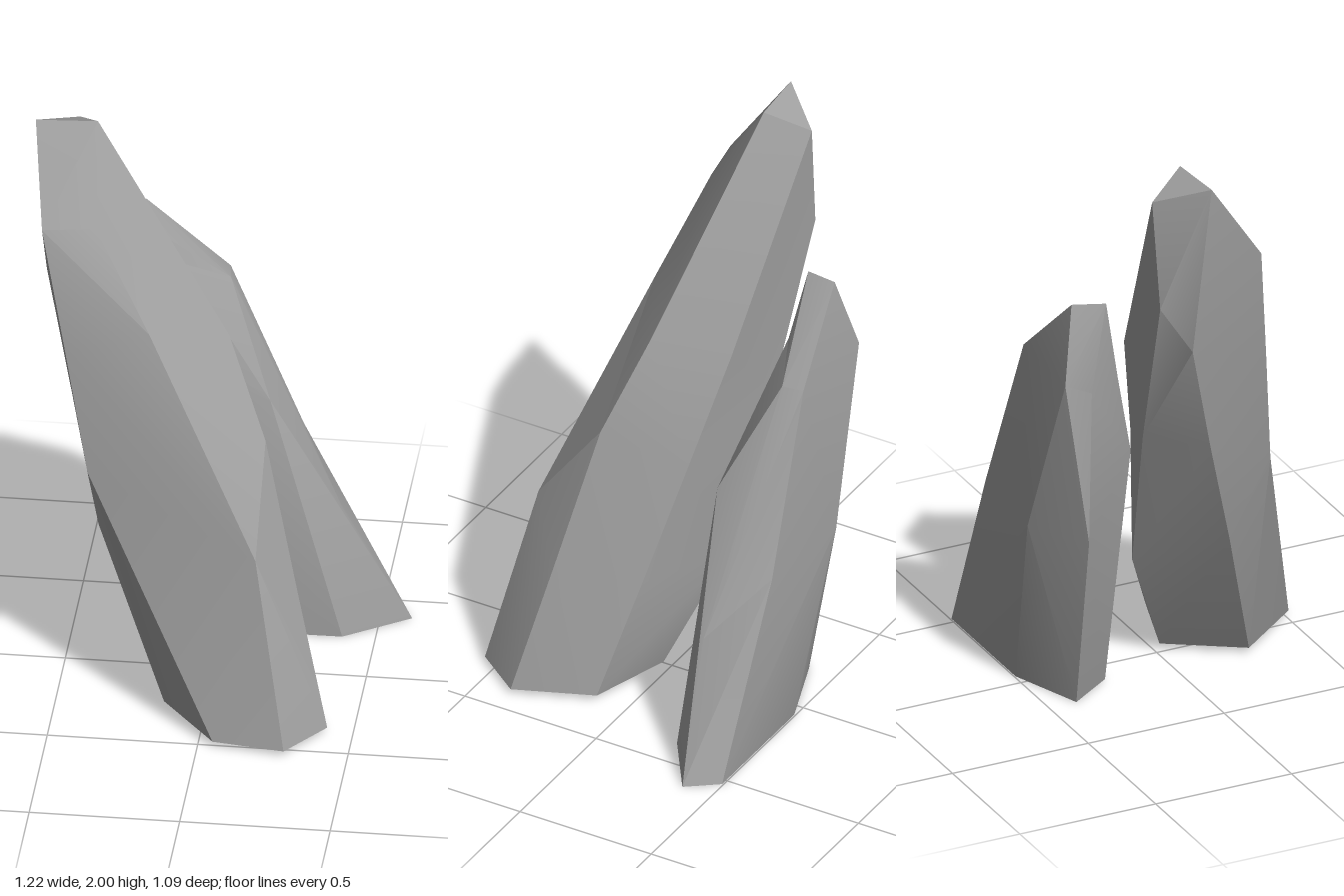
import * as THREE from 'three';
import { toCreasedNormals } from 'three/addons/utils/BufferGeometryUtils.js';

// Skin a faceted shard from edge columns (bottom to top), ordered anticlockwise from above.
function shardGeometry(columns) {
  const cols = columns.map(c => c.map(p => new THREE.Vector3(...p)));
  const out = [];
  const normalOf = (a, b, c) => b.clone().sub(a).cross(c.clone().sub(a));
  const tri = (a, b, c) => {
    if (normalOf(a, b, c).length() > 1e-6) out.push(...a.toArray(), ...b.toArray(), ...c.toArray());
  };
  cols.forEach((col, i) => {
    const next = cols[(i + 1) % cols.length];
    for (let k = 0; k < col.length - 1; k++) {
      const [a, b, c, d] = [col[k], next[k], next[k + 1], col[k + 1]];
      // split each quad along the diagonal that bulges outward
      if (normalOf(a, b, c).dot(d.clone().sub(a)) <= 0) { tri(a, b, c); tri(a, c, d); }
      else { tri(a, b, d); tri(b, c, d); }
    }
  });
  // tip facet; the base stays open
  const tip = cols.map(c => c[c.length - 1]);
  for (let i = 1; i < tip.length - 1; i++) tri(tip[0], tip[i], tip[i + 1]);
  const geo = new THREE.BufferGeometry();
  geo.setAttribute('position', new THREE.Float32BufferAttribute(out, 3));
  return toCreasedNormals(geo, 0.42);
}

export function createModel() {
  const stone = new THREE.MeshStandardMaterial({ color: 0xa0a0a0, side: THREE.DoubleSide });
  stone.name = 'grey stone';
  const group = new THREE.Group();
  group.name = 'rockSpires';

  const add = (name, columns) => {
    const mesh = new THREE.Mesh(shardGeometry(columns), stone);
    mesh.name = name;
    group.add(mesh);
  };

  // Tall leaning shard at the front
  const peakRight = [-0.405, 2, -0.115], peakLeft = [-0.61, 2, -0.1], peakBack = [-0.48, 1.93, -0.255];
  add('tallShard', [
    [[0.415, 0.02, 0.375], [0.31, 0.45, 0.28], [0.185, 0.98, 0.165], [0.05, 1.31, 0.05], peakRight],
    [[0.305, 0.02, 0.11], [0.17, 0.42, 0.015], [0.035, 0.83, -0.08], [-0.1, 1.23, -0.17], peakBack],
    [[0.02, 0.02, 0.02], [-0.12, 0.43, -0.15], [-0.31, 0.98, -0.205], [-0.52, 1.55, -0.245], peakBack],
    [[-0.14, 0.02, 0.27], [-0.38, 0.57, 0.08], [-0.48, 0.98, -0.04], [-0.58, 1.4, -0.155], peakLeft],
    [[0.05, 0.02, 0.51], [-0.4, 0.85, 0.22], [-0.48, 1.27, 0.165], [-0.565, 1.7, 0.105], peakLeft],
    [[0.29, 0.02, 0.545], [0.18, 0.66, 0.405], [-0.2, 1.37, 0.18], [-0.39, 1.7, 0.075], peakRight],
  ]);

  // Shorter, thinner shard behind it
  const tipBack = [-0.285, 1.51, -0.455], tipFront = [-0.31, 1.5, -0.34];
  add('shortShard', [
    [[0.605, 0, -0.39], [0.38, 0.44, -0.34], [0, 1.25, -0.42], tipBack],
    [[0.525, 0, -0.495], [0.23, 0.65, -0.515], [-0.01, 1.25, -0.495], tipBack],
    [[0.05, 0, -0.495], [-0.14, 0.65, -0.545], [-0.35, 1.25, -0.51], tipBack],
    [[-0.21, 0, -0.4], [-0.345, 0.65, -0.42], [-0.345, 1.2, -0.41], tipFront],
    [[-0.1, 0, -0.24], [-0.24, 0.9, -0.215], [-0.275, 1.2, -0.28], tipFront],
    [[0.39, 0, -0.245], [0.15, 0.88, -0.26], [-0.155, 1.33, -0.355], tipFront],
  ]);

  return group;
}
